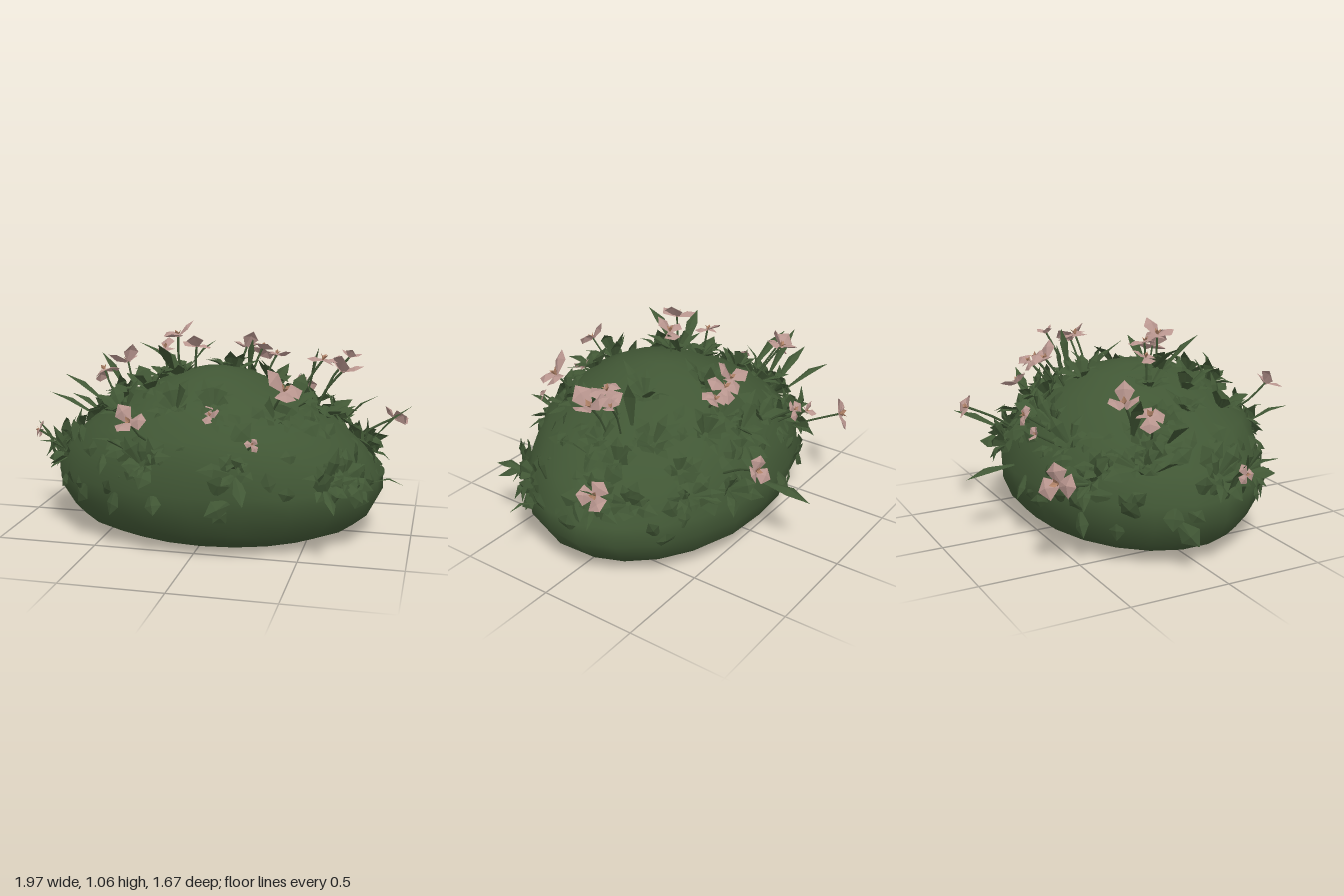
import * as THREE from 'three';
import { mergeVertices } from 'three/addons/utils/BufferGeometryUtils.js';

const V = (x, y, z) => new THREE.Vector3(x, y, z);
const material = (name, color) => {
  const m = new THREE.MeshStandardMaterial({ color, side: THREE.DoubleSide });
  m.name = name;
  return m;
};

// mound cross-sections: height, half width, half depth, x centre, z centre
const RINGS = [
  [0, 0, 0, 0, 0.02], [0.004, 0.38, 0.28, 0, 0.02], [0.022, 0.58, 0.43, 0.02, 0.02],
  [0.065, 0.715, 0.51, 0.01, 0.01], [0.12, 0.775, 0.57, 0.01, 0.01], [0.22, 0.835, 0.61, 0.015, 0.015],
  [0.32, 0.835, 0.63, 0.01, 0.02], [0.45, 0.755, 0.60, 0, 0.035], [0.57, 0.62, 0.55, 0, 0.05],
  [0.70, 0.41, 0.41, 0, 0.05], [0.79, 0.21, 0.24, 0, 0.05], [0.825, 0.08, 0.09, 0, 0.05], [0.83, 0, 0, 0, 0.05],
];

// interpolated cross-section at height y
function ringAt(y) {
  const i = Math.max(1, RINGS.findIndex((r) => r[0] >= y));
  const [a, b] = [RINGS[i - 1], RINGS[i]];
  const t = (y - a[0]) / (b[0] - a[0]);
  return a.map((value, k) => value + (b[k] - value) * t);
}
// height of the mound's upper side above (x, z)
function heightAt(x, z) {
  for (let y = 0.825; y > 0.32; y -= 0.005) {
    const [, rx, rz, cx, cz] = ringAt(y);
    if (Math.hypot((x - cx) / rx, (z - cz) / rz) < 1) return y;
  }
  return 0.32;
}
const pointAt = (angle, y) => {
  const [, rx, rz, cx, cz] = ringAt(y);
  return V(cx + rx * Math.cos(angle), y, cz + rz * Math.sin(angle));
};
const normalAt = (p) => V(p.x / 0.70, (p.y - 0.3) / 0.28, (p.z - 0.03) / 0.40).normalize();

function createMound(mat) {
  const geo = new THREE.LatheGeometry(RINGS.map((r) => new THREE.Vector2(r[1], r[0])), 22);
  const pos = geo.attributes.position;
  for (let i = 0; i < pos.count; i++) {
    const [x, y, z] = [pos.getX(i), pos.getY(i), pos.getZ(i)];
    const [, rx, rz, cx, cz] = RINGS[i % RINGS.length];
    const bump = y > 0.1 ? 1 + 0.012 * Math.sin(9 * x + 14 * y) * Math.cos(11 * z - 5 * y) : 1;
    pos.setXYZ(i, cx + x * bump, y, cz + z * (rx ? rz / rx : 1) * bump);
  }
  geo.deleteAttribute('uv');
  geo.deleteAttribute('normal');
  const merged = mergeVertices(geo, 1e-4);
  merged.computeVertexNormals();
  const mesh = new THREE.Mesh(merged, mat);
  mesh.name = 'mound';
  return mesh;
}

export function createModel() {
  const group = new THREE.Group();
  group.name = 'floweringBush';
  let seed = 11;
  const rand = (a = 0, b = 1) => {
    seed = (seed * 16807) % 2147483647;
    return a + (b - a) * (seed / 2147483647);
  };

  const bushGreen = material('bush green', 0x415735);
  const petalPink = material('petal pink', 0xb8958e);
  const heartPeach = material('flower heart peach', 0xb38468);
  group.add(createMound(bushGreen));

  // folded blade with a midrib arched towards up, from base to tip
  function blade(out, base, tip, width, up, arch) {
    const dir = tip.clone().sub(base);
    const side = dir.clone().cross(up).normalize().multiplyScalar(width / 2);
    const mid = base.clone().addScaledVector(dir, 0.55).addScaledVector(up, arch);
    const edge = base.clone().addScaledVector(dir, 0.6).addScaledVector(up, arch - width * 0.2);
    const left = edge.clone().sub(side);
    const right = edge.clone().add(side);
    const foot = side.clone().multiplyScalar(0.25);
    const [b0, b1] = [base.clone().sub(foot), base.clone().add(foot)];
    out.push(b0, mid, left, left, mid, tip, b1, right, mid, right, tip, mid, b0, b1, mid);
  }
  function addMesh(parent, name, points, mat) {
    const geo = new THREE.BufferGeometry().setFromPoints(points);
    geo.computeVertexNormals();
    const mesh = new THREE.Mesh(geo, mat);
    mesh.name = name;
    parent.add(mesh);
  }
  // returns a function giving the direction at an angle around n
  function around(n) {
    const u = V(0.31, 0.2, 0.93).cross(n).normalize();
    const v = n.clone().cross(u);
    return (a) => u.clone().multiplyScalar(Math.cos(a)).addScaledVector(v, Math.sin(a));
  }

  // leaf tufts: x, z on the upper side, or x, z and height near the rim
  const tufts = [
    [-0.17, 0.1], [-0.3, 0.18], [-0.27, 0.0], [0.03, -0.22], [0.1, -0.38], [0.28, -0.05],
    [0.24, -0.38], [0.42, 0.2], [0.38, 0.36], [0.55, 0.02], [0.6, -0.12], [0.45, -0.22],
    [-0.55, -0.2], [-0.5, -0.08], [-0.62, -0.2], [-0.4, 0.33], [-0.1, 0.45], [0.08, 0.43],
    [-0.3, -0.46], [-0.12, -0.46], [0.45, -0.38], [-0.45, 0.1], [-0.52, -0.38], [0.05, -0.46],
    [-0.78, 0.08, 0.42], [-0.72, 0.28, 0.4], [0.8, -0.12, 0.42], [0.74, -0.28, 0.42],
    [-0.72, -0.3, 0.48], [-0.24, 0.6, 0.46], [0.24, 0.6, 0.45], [0.3, -0.6, 0.4],
    [0.7, 0.33, 0.38], [0.6, 0.42, 0.36], [0.52, -0.5, 0.42], [-0.56, -0.5, 0.4],
  ];
  const tuftGroup = new THREE.Group();
  tuftGroup.name = 'leafTufts';
  for (const [x, z, y] of tufts) {
    const base = y ? pointAt(Math.atan2((z - 0.02) / 0.63, x / 0.83), y) : V(x, heightAt(x, z), z);
    const n = normalAt(base).add(V(0, 0.3, 0)).normalize();
    const direction = around(n);
    const leaves = [];
    const count = 8;
    for (let i = 0; i < count; i++) {
      const len = rand(0.1, 0.19);
      const tip = base.clone()
        .addScaledVector(direction((i / count) * Math.PI * 2 + rand(-0.35, 0.35)), len * rand(0.5, 1.05))
        .addScaledVector(n, len * rand(0.1, 0.7));
      blade(leaves, base.clone().addScaledVector(n, -0.02), tip, rand(0.045, 0.085), n, len * rand(0.1, 0.28));
    }
    addMesh(tuftGroup, 'leafTuft', leaves, bushGreen);
  }
  group.add(tuftGroup);

  // small leaves lying against the mound
  const cover = [];
  for (let i = 0; i < 140; i++) {
    const base = pointAt(rand(0, Math.PI * 2), 0.24 + 0.46 * rand() ** 1.1);
    const n = normalAt(base);
    const tip = base.clone().addScaledVector(around(n)(rand(0, Math.PI * 2)), rand(0.08, 0.15))
      .addScaledVector(n, rand(-0.02, 0.05));
    blade(cover, base.addScaledVector(n, -0.012), tip, rand(0.06, 0.11), n, 0.012);
  }
  addMesh(group, 'coverLeaves', cover, bushGreen);

  // long outer leaves: base, tip, width
  const longLeaves = [];
  for (const [b, t, w] of [
    [[-0.7, 0.47, -0.2], [-1.0, 0.6, -0.22], 0.06], [[-0.7, 0.47, -0.28], [-0.94, 0.56, -0.4], 0.05],
    [[0.8, 0.32, 0.2], [0.96, 0.33, 0.24], 0.02], [[0.05, 0.35, -0.58], [0.04, 0.31, -0.85], 0.08],
    [[0.45, 0.42, -0.5], [0.64, 0.5, -0.7], 0.08], [[-0.2, 0.5, 0.58], [-0.11, 0.52, 0.82], 0.02],
    [[-0.3, 0.5, 0.55], [-0.42, 0.6, 0.72], 0.06], [[0.22, 0.45, 0.58], [0.22, 0.5, 0.77], 0.04],
    [[0.62, 0.55, 0.0], [0.82, 0.72, 0.05], 0.05], [[-0.72, 0.4, 0.25], [-0.82, 0.48, 0.38], 0.05],
    [[0.65, 0.35, 0.42], [0.69, 0.36, 0.58], 0.07], [[-0.8, 0.3, 0.1], [-0.93, 0.52, 0.12], 0.05],
    [[0.76, 0.42, -0.2], [0.97, 0.62, -0.2], 0.06], [[-0.62, 0.57, -0.1], [-0.88, 0.72, -0.15], 0.06],
    [[-0.55, 0.6, -0.25], [-0.72, 0.82, -0.3], 0.06], [[0.45, 0.68, -0.1], [0.5, 0.92, -0.12], 0.06],
    [[-0.18, 0.8, 0.05], [-0.38, 0.95, 0.1], 0.06], [[-0.15, 0.8, 0.05], [0.0, 0.96, 0.02], 0.06],
    [[-0.2, 0.8, 0.1], [-0.22, 0.97, 0.3], 0.06], [[0.1, 0.72, -0.3], [0.12, 0.92, -0.32], 0.06],
  ]) blade(longLeaves, V(...b), V(...t), w, V(0, 1, 0), 0.03);
  addMesh(group, 'longLeaves', longLeaves, bushGreen);

  // flowers: centre and petal size
  const flowers = [
    [-0.18, 0.98, 0.09, 0.1], [-0.09, 0.93, 0.07, 0.09], [-0.28, 0.9, -0.03, 0.08],
    [0.07, 0.86, -0.4, 0.09], [0.15, 0.85, -0.42, 0.1], [0.23, 0.82, -0.42, 0.08],
    [0.53, 0.87, -0.02, 0.1], [0.63, 0.82, 0.0, 0.11], [0.41, 0.79, 0.4, 0.11],
    [0.88, 0.55, -0.22, 0.1], [-0.24, 0.68, 0.71, 0.09], [-0.61, 0.46, -0.65, 0.12],
    [-0.17, 0.66, -0.62, 0.07], [0.34, 0.59, -0.72, 0.09], [-0.57, 0.77, -0.3, 0.1],
    [-0.68, 0.73, -0.23, 0.1], [-0.92, 0.47, 0.13, 0.06], [0.08, 0.68, 0.5, 0.06],
    [-0.3, 0.6, -0.62, 0.05], [0.3, 0.58, 0.6, 0.04], [0.65, 0.87, -0.14, 0.06],
  ];
  const flowerGroup = new THREE.Group();
  flowerGroup.name = 'flowers';
  for (const [x, y, z, size] of flowers) {
    const centre = V(x, y, z);
    const n = normalAt(centre);
    const direction = around(n);
    const petals = [];
    const heart = [];
    const turn = rand(0, 6);
    for (let i = 0; i < 3; i++) {
      const radial = direction(turn + i * 2.1 + rand(-0.3, 0.3));
      const tip = centre.clone().addScaledVector(radial, size * rand(0.7, 1)).addScaledVector(n, size * rand(-0.3, 0.8));
      blade(petals, centre, tip, size * 0.95, n, size * 0.15);
      const inner = centre.clone().addScaledVector(radial, size * 0.2).addScaledVector(n, size * 0.35);
      blade(heart, centre, inner, size * 0.22, radial, 0);
    }
    addMesh(flowerGroup, 'petals', petals, petalPink);
    addMesh(flowerGroup, 'flowerHeart', heart, heartPeach);

    // stem curving down into the mound
    const root = centre.clone().addScaledVector(n, -0.2).add(V(-x * 0.06, -0.02, -z * 0.06));
    const bend = centre.clone().lerp(root, 0.5).addScaledVector(direction(0), 0.015);
    const stem = new THREE.Mesh(
      new THREE.TubeGeometry(new THREE.CatmullRomCurve3([root, bend, centre]), 4, 0.006, 4), bushGreen);
    stem.name = 'stem';
    flowerGroup.add(stem);
  }
  group.add(flowerGroup);
  return group;
}
